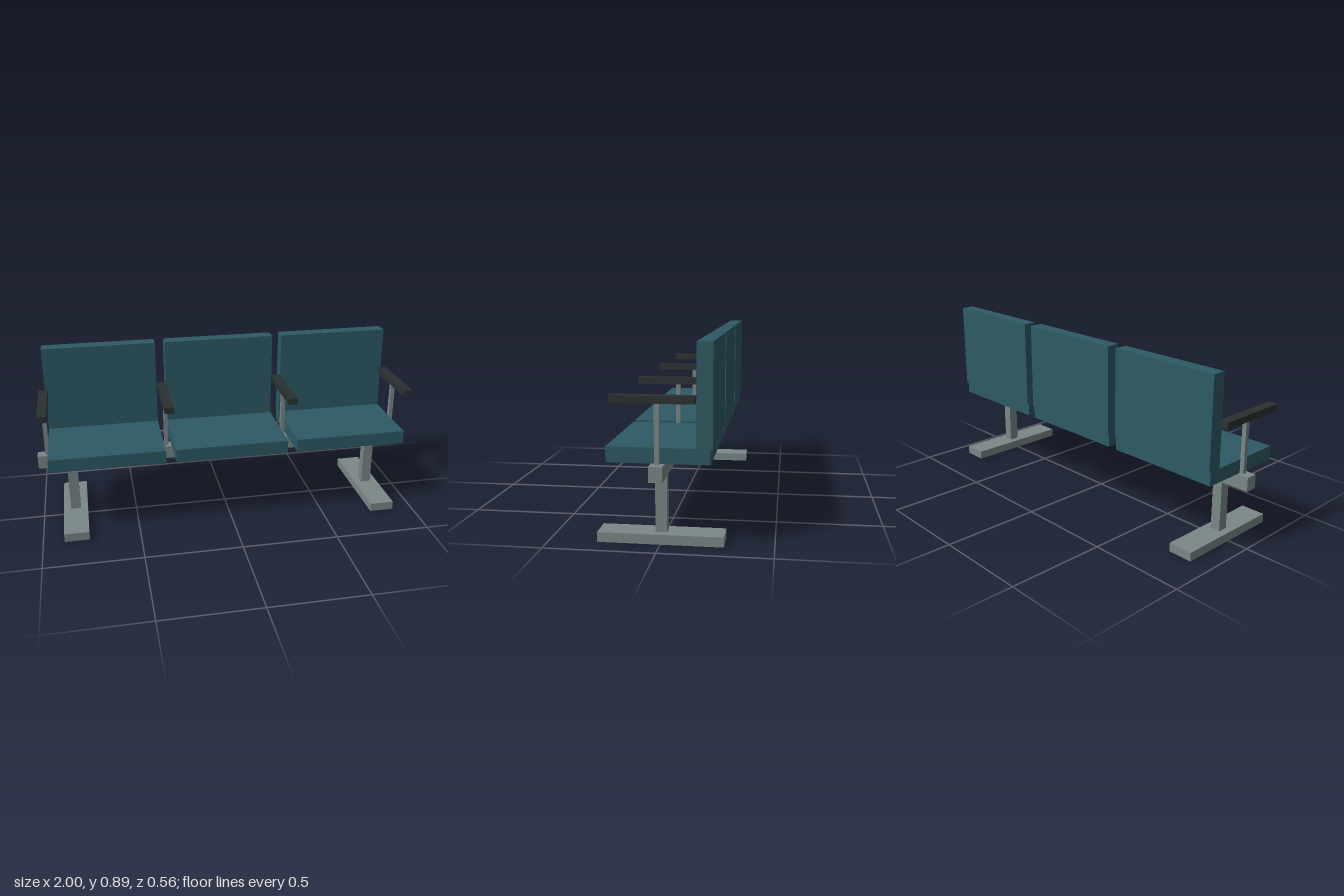
import * as THREE from 'three';

const makeMaterial = (name, color) => {
  const material = new THREE.MeshStandardMaterial({ color });
  material.name = name;
  return material;
};

export function createModel() {
  const teal = makeMaterial('teal upholstery', 0x2d5a64);
  const grey = makeMaterial('grey metal', 0x7b8888);
  const black = makeMaterial('black armrest', 0x2a3030);

  const bench = new THREE.Group();
  bench.name = 'bench';

  // Box centred on x, spanning the given y and z ranges
  const addBox = (name, material, x, width, [y0, y1], [z0, z1]) => {
    const mesh = new THREE.Mesh(new THREE.BoxGeometry(width, y1 - y0, z1 - z0), material);
    mesh.name = name;
    mesh.position.set(x, (y0 + y1) / 2, (z0 + z1) / 2);
    bench.add(mesh);
  };

  // Long beam carrying the seats
  addBox('beam', grey, 0, 2, [0.306, 0.375], [-0.03, 0.03]);

  // Legs with wide feet
  for (const x of [-0.828, 0.828]) {
    addBox('foot', grey, x, 0.128, [0, 0.045], [-0.282, 0.282]);
    addBox('leg', grey, x, 0.052, [0.045, 0.306], [-0.026, 0.026]);
  }

  // Three seats; each backrest overhangs its cushion slightly at the rear
  for (const x of [-0.643, 0, 0.643]) {
    addBox('seat', teal, x, 0.592, [0.375, 0.444], [-0.226, 0.226]);
    addBox('backrest', teal, x, 0.592, [0.444, 0.895], [-0.235, -0.165]);
  }

  // Armrests between and beside the seats
  for (const x of [-0.949, -0.3215, 0.3215, 0.949]) {
    addBox('armrestPost', grey, x, 0.022, [0.375, 0.637], [-0.011, 0.011]);
    addBox('armrest', black, x, 0.048, [0.637, 0.67], [-0.165, 0.201]);
  }

  return bench;
}
